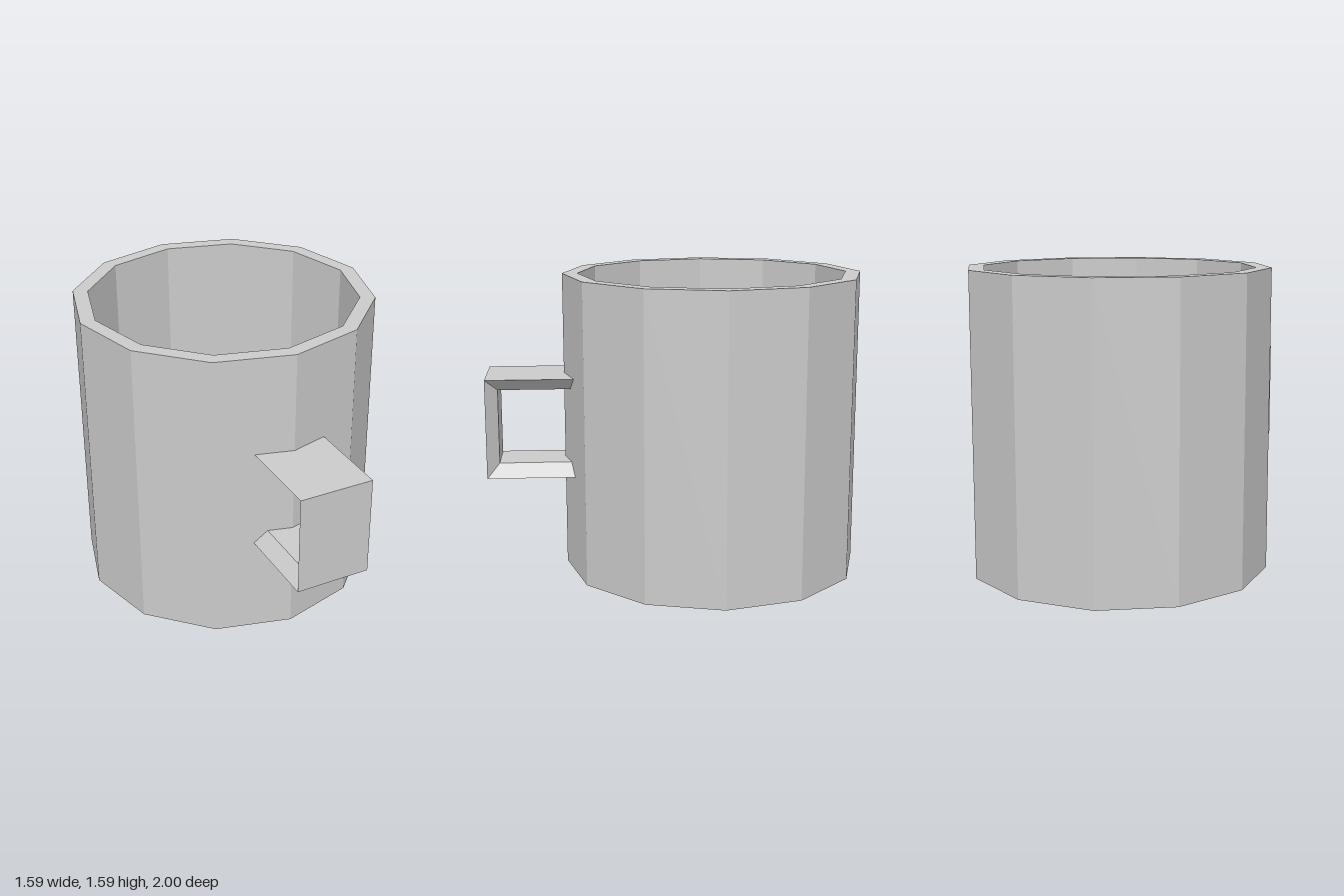
import * as THREE from 'three';

const SIDES = 12, RADIUS = 0.795, INNER = 0.715, HEIGHT = 1.593, FLOOR = 0.08, CENTER_Z = -0.205;

const material = new THREE.MeshStandardMaterial({ color: 0xcccccc, flatShading: true });

function flatMesh(geometry, name) {
  const flat = geometry.index ? geometry.toNonIndexed() : geometry;
  flat.computeVertexNormals();
  const mesh = new THREE.Mesh(flat, material);
  mesh.name = name;
  return mesh;
}

// Twelve-sided cup: base, outer wall, rim, inner wall and floor
function createCup() {
  const profile = [
    [0, 0], [RADIUS, 0], [RADIUS, HEIGHT], [INNER, HEIGHT], [INNER, FLOOR], [0, FLOOR],
  ].map(([r, y]) => new THREE.Vector2(r, y));
  const cup = flatMesh(new THREE.LatheGeometry(profile, SIDES), 'cup');
  cup.position.z = CENTER_Z;
  return cup;
}

// Square handle: a trapezoid section, wide outside and narrow inside, with mitred corners
function createHandle() {
  const outerHalf = 0.198, innerHalf = 0.128;
  // The ends sit just inside the two angled wall facets
  const wallZ = (x) => CENTER_Z + RADIUS - 0.02 - x * Math.tan(Math.PI / SIDES);
  const outerEnd = wallZ(outerHalf), innerEnd = wallZ(innerHalf);
  // Each station: outer y, outer z, inner y, inner z
  const stations = [
    [1.063, outerEnd, 0.997, innerEnd],
    [1.063, 1, 0.997, 0.937],
    [0.533, 1, 0.6, 0.937],
    [0.533, outerEnd, 0.6, innerEnd],
  ].map(([oy, oz, iy, iz]) => [
    [outerHalf, oy, oz], [-outerHalf, oy, oz], [-innerHalf, iy, iz], [innerHalf, iy, iz],
  ]);

  const positions = [];
  for (let i = 0; i < stations.length - 1; i++) {
    for (let k = 0; k < 4; k++) {
      const n = (k + 1) % 4;
      const a = stations[i][k], b = stations[i][n];
      const c = stations[i + 1][n], d = stations[i + 1][k];
      positions.push(...a, ...b, ...c, ...a, ...c, ...d);
    }
  }
  const geometry = new THREE.BufferGeometry();
  geometry.setAttribute('position', new THREE.Float32BufferAttribute(positions, 3));
  return flatMesh(geometry, 'handle');
}

export function createModel() {
  const mug = new THREE.Group();
  mug.name = 'mug';
  mug.add(createCup(), createHandle());
  return mug;
}
